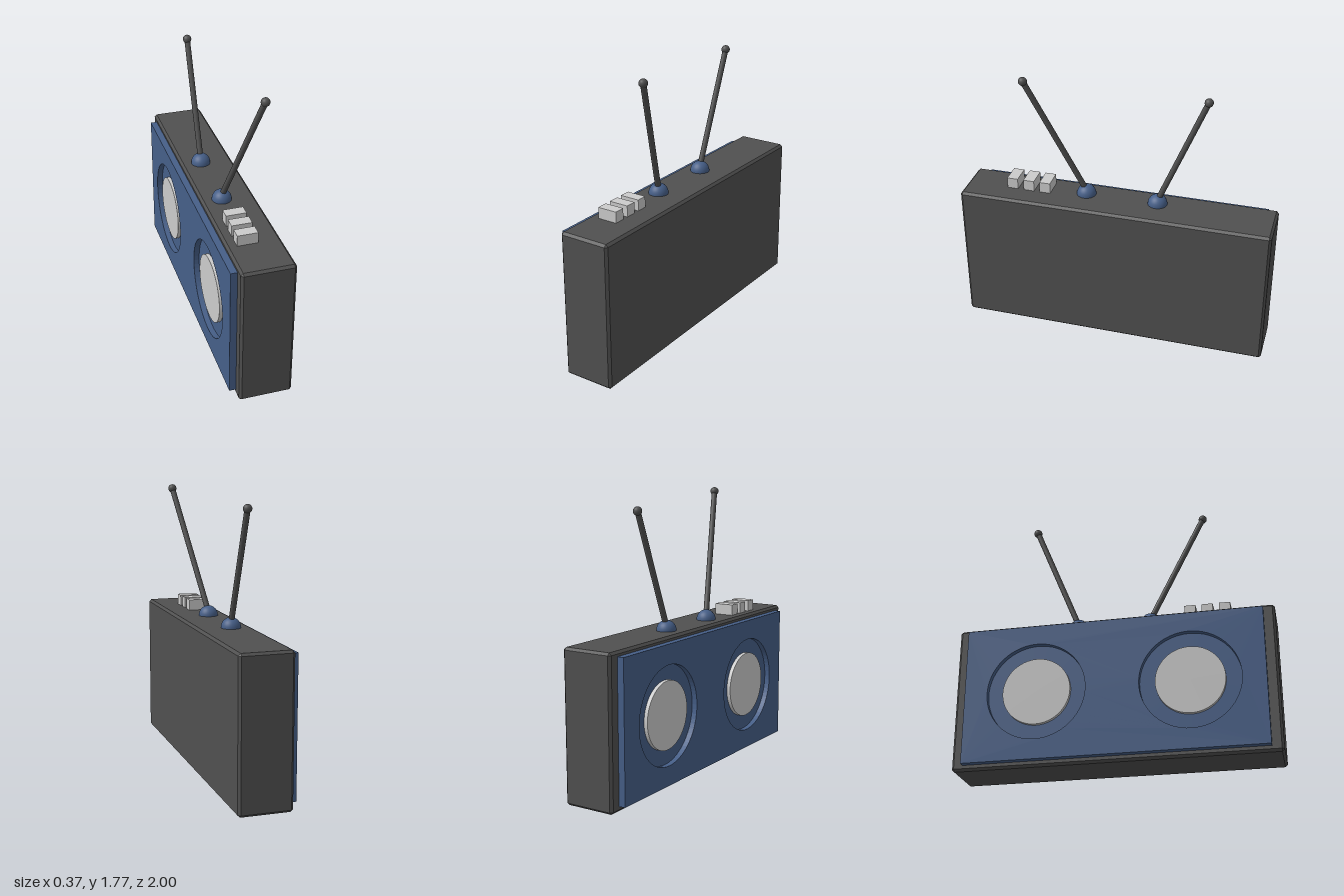
import * as THREE from 'three';
import { ConvexGeometry } from 'three/addons/geometries/ConvexGeometry.js';

const dark = new THREE.MeshStandardMaterial({ color: 0x505050 });
const blue = new THREE.MeshStandardMaterial({ color: 0x465f88 });
const grey = new THREE.MeshStandardMaterial({ color: 0xcccccc });

function add(parent, name, geometry, material, x = 0, y = 0, z = 0) {
  const mesh = new THREE.Mesh(geometry, material);
  mesh.name = name;
  mesh.position.set(x, y, z);
  parent.add(mesh);
  return mesh;
}

// Box with all edges cut at 45 degrees
function chamferedBox(w, h, d, c) {
  const points = [];
  for (const x of [-1, 1]) for (const y of [-1, 1]) for (const z of [-1, 1]) {
    const [a, b, e] = [x * w / 2, y * h / 2, z * d / 2];
    points.push(
      new THREE.Vector3(a, b - y * c, e - z * c),
      new THREE.Vector3(a - x * c, b, e - z * c),
      new THREE.Vector3(a - x * c, b - y * c, e));
  }
  return new ConvexGeometry(points);
}

// Speaker panel with two round openings, drawn in (z, y), extruded towards -x
function panelGeometry(halfLength, bottom, top, holes, radius, depth) {
  const shape = new THREE.Shape([
    new THREE.Vector2(-halfLength, bottom), new THREE.Vector2(halfLength, bottom),
    new THREE.Vector2(halfLength, top), new THREE.Vector2(-halfLength, top)]);
  for (const z of holes) {
    shape.holes.push(new THREE.Path().absarc(z, (bottom + top) / 2, radius, 0, Math.PI * 2, true));
  }
  return new THREE.ExtrudeGeometry(shape, { depth, bevelEnabled: false, curveSegments: 32 })
    .rotateY(-Math.PI / 2);
}

function antenna(name, base, tip) {
  const group = new THREE.Group();
  group.name = name;
  add(group, 'antennaSocket', new THREE.SphereGeometry(0.062, 32, 16), blue, base.x, 0.938, base.z);
  const dir = tip.clone().sub(base);
  const rod = add(group, 'antennaRod', new THREE.CylinderGeometry(0.018, 0.018, dir.length(), 20), dark);
  rod.position.copy(base).addScaledVector(dir, 0.5);
  rod.quaternion.setFromUnitVectors(new THREE.Vector3(0, 1, 0), dir.normalize());
  add(group, 'antennaTip', new THREE.SphereGeometry(0.027, 24, 16), dark, tip.x, tip.y, tip.z);
  return group;
}

export function createModel() {
  const model = new THREE.Group();
  model.name = 'radio';

  // Case
  add(model, 'case', chamferedBox(0.332, 0.935, 2, 0.015), dark, 0.019, 0.4675, 0);

  // Speaker panel, recess floors and raised speaker discs
  const speakers = [-0.475, 0.475];
  add(model, 'speakerPanel', panelGeometry(0.93, 0.035, 0.905, speakers, 0.31, 0.043), blue, -0.146);
  for (const z of speakers) {
    const floor = add(model, 'speakerRecess', new THREE.CylinderGeometry(0.312, 0.312, 0.014, 64), blue, -0.147, 0.47, z);
    const disc = add(model, 'speakerDisc', new THREE.CylinderGeometry(0.213, 0.213, 0.04, 64), grey, -0.158, 0.47, z);
    floor.rotation.z = disc.rotation.z = Math.PI / 2;
  }

  // Push buttons
  for (const z of [0.475, 0.583, 0.692]) {
    add(model, 'button', new THREE.BoxGeometry(0.128, 0.1, 0.07), grey, -0.021, 0.955, z);
  }

  // Antennas
  model.add(antenna('frontAntenna', new THREE.Vector3(-0.02, 0.96, 0.215), new THREE.Vector3(0.125, 1.745, 0.555)));
  model.add(antenna('rearAntenna', new THREE.Vector3(-0.02, 0.96, -0.25), new THREE.Vector3(-0.02, 1.68, -0.545)));

  return model;
}
